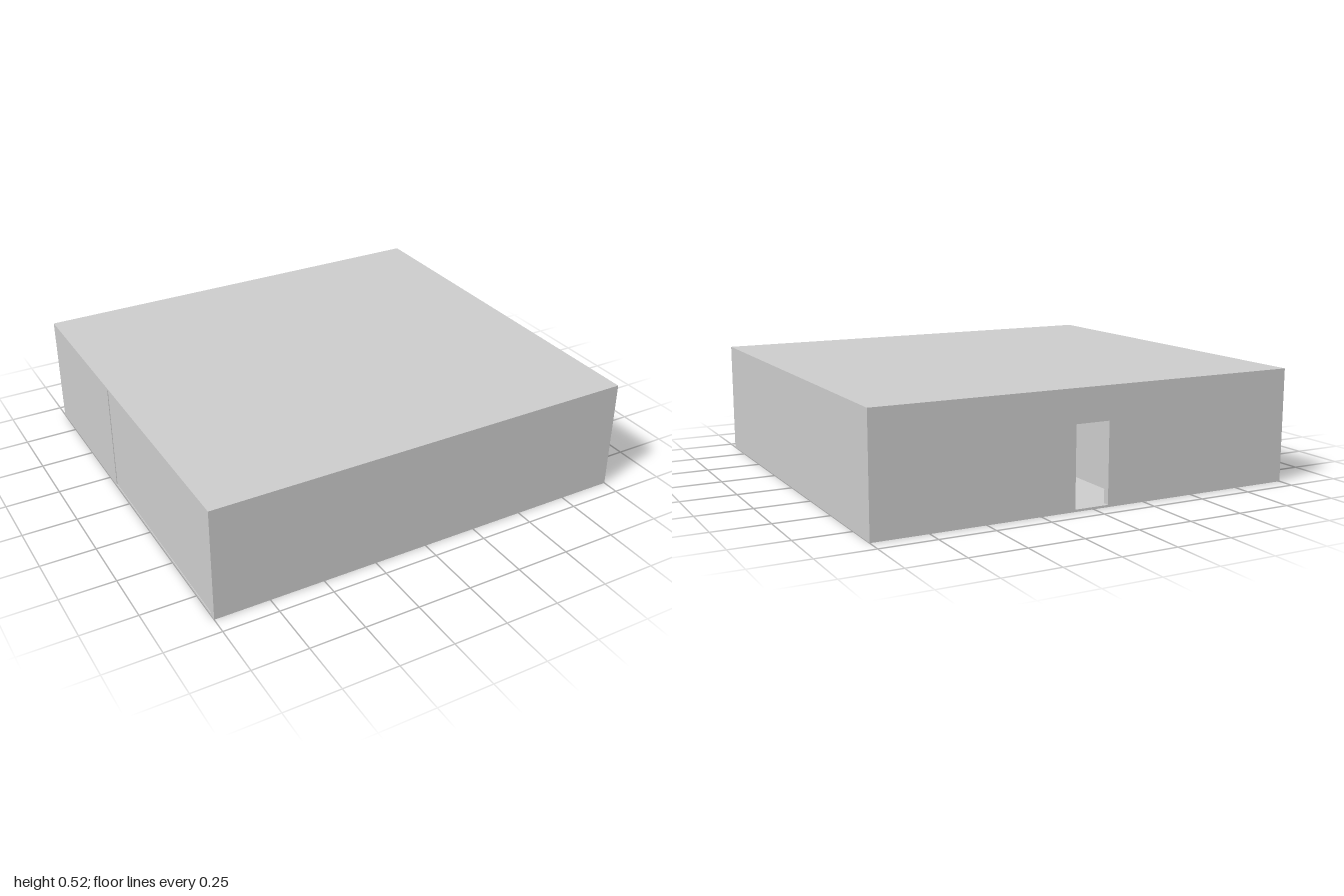
import * as THREE from 'three';

const W = 2, D = 1.84, H = 0.52; // overall size
const T = 0.03; // wall thickness
const SLAB = 0.01; // floor and roof thickness

export function createModel() {
  const group = new THREE.Group();
  const material = new THREE.MeshStandardMaterial({ color: 0xcccccc, flatShading: true });

  const add = (name, geometry, x, y, z) => {
    const mesh = new THREE.Mesh(geometry, material);
    mesh.name = name;
    mesh.position.set(x, y, z);
    group.add(mesh);
  };
  // Box given by its lower and upper limits
  const block = (name, x0, x1, y0, y1, z0, z1) =>
    add(name, new THREE.BoxGeometry(x1 - x0, y1 - y0, z1 - z0),
      (x0 + x1) / 2, (y0 + y1) / 2, (z0 + z1) / 2);

  const X = W / 2, Z = D / 2, top = H - SLAB;

  // Floor and roof slabs
  block('floor', -X, X, 0, SLAB, -Z, Z);
  block('roof', -X, X, top, H, -Z, Z);

  // Back wall with the doorway cut from its lower edge
  const door = { x0: -0.07, x1: 0.09, y: 0.37 };
  const outline = new THREE.Shape([
    [-X, SLAB], [door.x0, SLAB], [door.x0, door.y], [door.x1, door.y],
    [door.x1, SLAB], [X, SLAB], [X, top], [-X, top],
  ].map(([x, y]) => new THREE.Vector2(x, y)));
  add('backWall', new THREE.ExtrudeGeometry(outline, { depth: T, bevelEnabled: false }), 0, 0, -Z);

  // Closed outer walls; the left one in the plan is made of two lengths, slightly stepped
  block('frontWall', -X, X, SLAB, top, Z - T, Z);
  block('eastWall', X - T, X, SLAB, top, -Z + T, Z - T);
  block('westWallRear', -X, -X + T, SLAB, top, -Z + T, -0.165);
  block('westWallFront', -X + 0.003, -X + T, SLAB, top, -0.165, Z - T);

  // Inner partitions on both sides of the entrance hall
  block('hallPartitionWest', -0.2 - T, -0.2, SLAB, top, -Z + T, Z - T);
  block('hallPartitionEast', 0.22, 0.22 + T, SLAB, top, -Z + T, Z - T);

  return group;
}
